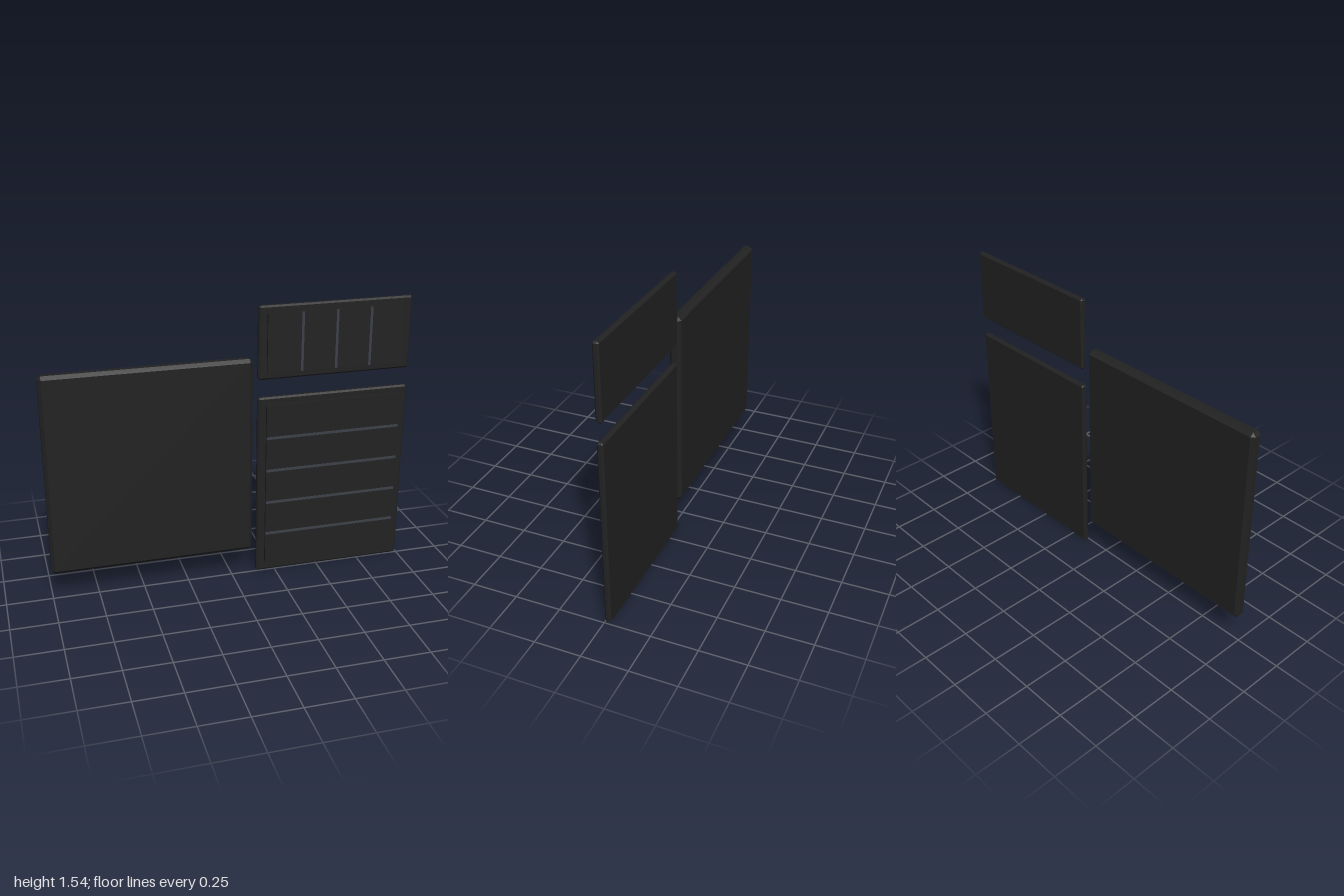
import * as THREE from 'three';
import { ConvexGeometry } from 'three/addons/geometries/ConvexGeometry.js';

const mat = (name, color) => Object.assign(new THREE.MeshStandardMaterial({ color }), { name });

// Box spanning the given ranges, every edge cut by a flat chamfer c
function chamferBox([x0, x1], [y0, y1], [z0, z1], c) {
  const half = [(x1 - x0) / 2, (y1 - y0) / 2, (z1 - z0) / 2];
  const points = [];
  for (const sx of [-1, 1]) for (const sy of [-1, 1]) for (const sz of [-1, 1]) {
    for (let axis = 0; axis < 3; axis++) {
      const p = half.map((h, i) => (i === axis ? h : h - c));
      points.push(new THREE.Vector3(p[0] * sx, p[1] * sy, p[2] * sz));
    }
  }
  return new ConvexGeometry(points).translate((x0 + x1) / 2, (y0 + y1) / 2, (z0 + z1) / 2);
}

// Plain box spanning the given ranges
function spanBox([x0, x1], [y0, y1], [z0, z1]) {
  return new THREE.BoxGeometry(x1 - x0, y1 - y0, z1 - z0)
    .translate((x0 + x1) / 2, (y0 + y1) / 2, (z0 + z1) / 2);
}

export function createModel() {
  const model = new THREE.Group();
  model.name = 'wallPanels';
  const black = mat('panelBlack', 0x222222);
  const grey = mat('dividerGrey', 0x3c4048);

  const add = (parent, name, geometry, material) => {
    const mesh = new THREE.Mesh(geometry, material);
    mesh.name = name;
    parent.add(mesh);
  };

  // Large plain square panel
  add(model, 'mainPanel', chamferBox([-1, 0.11], [0.16, 1.27], [-0.033, 0.033], 0.018), black);

  // Backing board with a raised inset, shared by both side panels
  const outerX = [0.145, 0.995], innerX = [0.19, 0.95];
  const sidePanel = (name, outerY, innerY) => {
    const group = new THREE.Group();
    group.name = name;
    add(group, 'backingBoard', chamferBox(outerX, outerY, [-0.033, 0], 0.009), black);
    add(group, 'inset', spanBox(innerX, innerY, [-0.005, 0.013]), black);
    model.add(group);
    return group;
  };

  // Tall lower panel with horizontal dividers
  const lower = sidePanel('lowerPanel', [0, 1.04], [0.045, 1]);
  for (const y of [0.238, 0.429, 0.62, 0.811]) {
    add(lower, 'horizontalDivider', spanBox(innerX, [y - 0.007, y + 0.007], [0.012, 0.017]), grey);
  }

  // Short upper panel with vertical dividers
  const upperY = [1.18, 1.5];
  const upper = sidePanel('upperPanel', [1.14, 1.54], upperY);
  for (const x of [0.38, 0.57, 0.76]) {
    add(upper, 'verticalDivider', spanBox([x - 0.007, x + 0.007], upperY, [0.012, 0.017]), grey);
  }

  return model;
}
